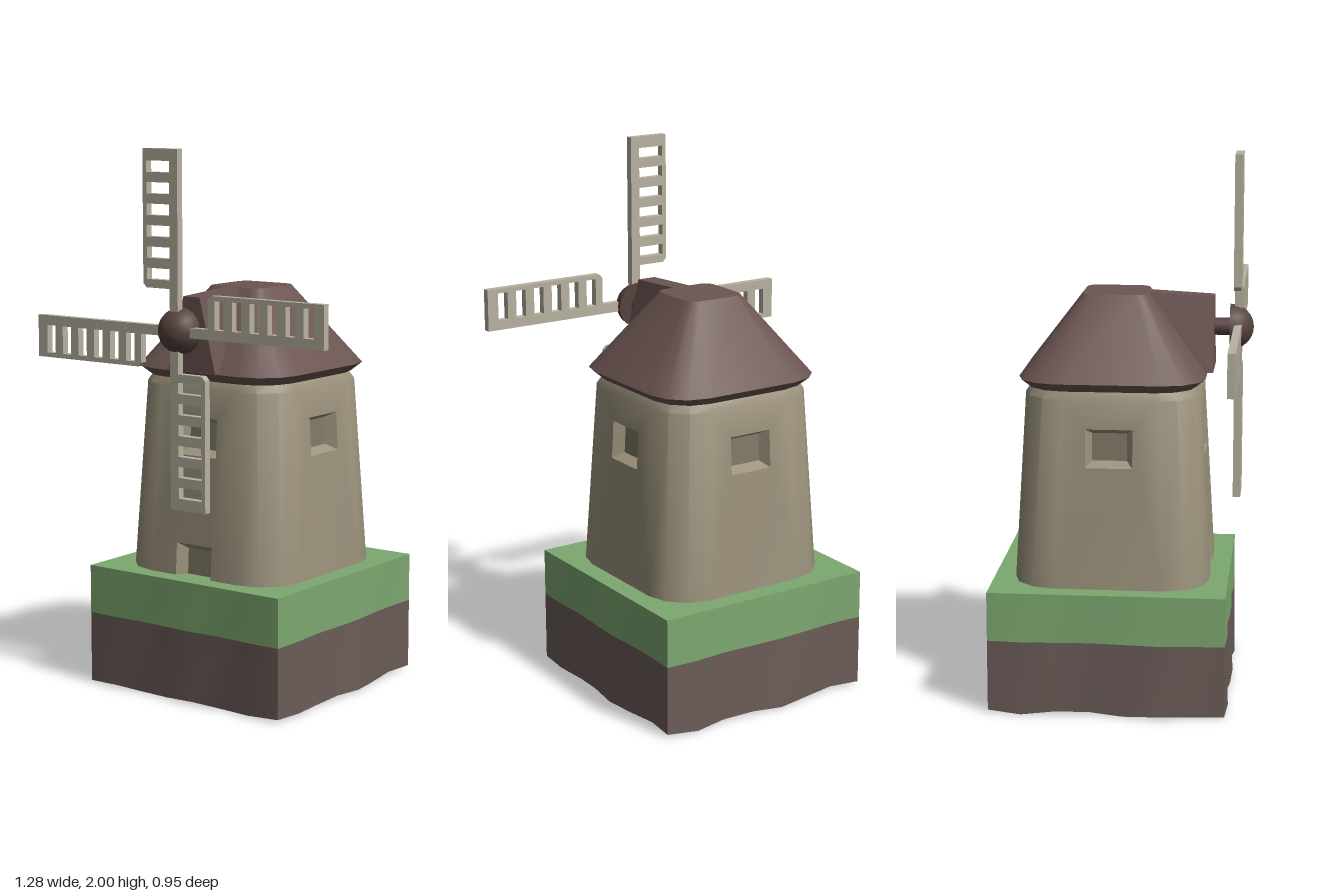
import * as THREE from 'three';
import { toCreasedNormals, mergeGeometries } from 'three/addons/utils/BufferGeometryUtils.js';

const CZ = -0.027; // centre of the tower in z
const V = (x, y, z) => new THREE.Vector3(x, y, z);

const paint = (color, side = THREE.FrontSide) =>
  new THREE.MeshStandardMaterial({ color, side });
const STONE = paint(0x9c937d);
const PANE = paint(0x7f7966);
const ROOF = paint(0x6b5552);
const HUB = paint(0x57433f);
const WOOD = paint(0xb8b2a0);
const GRASS = paint(0x7da870, THREE.DoubleSide);
const SOIL = paint(0x6b5c58, THREE.DoubleSide);

function add(parent, name, geometry, material) {
  const mesh = new THREE.Mesh(geometry, material);
  mesh.name = name;
  parent.add(mesh);
  return mesh;
}

// Non-indexed geometry from a list of triangle corners
function fromPoints(points) {
  const g = new THREE.BufferGeometry().setFromPoints(points);
  g.computeVertexNormals();
  return g;
}

// Skin between successive rings of points, with optional flat ends
function loft(rings, { closed = true, start = false, end = false } = {}) {
  const out = [];
  for (let r = 0; r + 1 < rings.length; r++) {
    const a = rings[r], b = rings[r + 1], n = a.length;
    for (let i = 0; i < (closed ? n : n - 1); i++) {
      const j = (i + 1) % n;
      out.push(a[i], a[j], b[j], a[i], b[j], b[i]);
    }
  }
  const cap = (ring, flip) => {
    for (let i = 1; i + 1 < ring.length; i++)
      out.push(ring[0], ring[flip ? i + 1 : i], ring[flip ? i : i + 1]);
  };
  if (start) cap(rings[0], true);
  if (end) cap(rings[rings.length - 1], false);
  return fromPoints(out);
}

// One rounded corner of a square, k quarter turns from front left
function cornerArc(half, r, y, k, seg = 3) {
  const pts = [];
  for (let i = 0; i <= seg; i++) {
    const a = (i / seg) * Math.PI / 2;
    pts.push(V(half - r + r * Math.sin(a), y, half - r + r * Math.cos(a))
      .applyAxisAngle(V(0, 1, 0), k * Math.PI / 2));
  }
  return pts;
}
const roundedSquare = (half, r, y) => [0, 1, 2, 3].flatMap(k => cornerArc(half, r, y, k));

function rect(x, y0, y1) {
  return [[-x, y0], [x, y0], [x, y1], [-x, y1]];
}

// Tower: four flat walls with recessed openings, joined by rounded corners
function buildTower() {
  const tower = new THREE.Group();
  tower.name = 'tower';
  const y0 = 0.446, y1 = 1.14, h0 = 0.357, h1 = 0.317, r0 = 0.16, r1 = 0.15;
  const half = y => h0 + (h1 - h0) * (y - y0) / (y1 - y0);
  const parts = [], panes = [];

  for (let k = 0; k < 4; k++) {
    const turn = k * Math.PI / 2;
    const front = k === 0;
    const outline = [[-(h0 - r0), y0]];
    if (front) outline.push([-0.08, y0], [-0.08, 0.57], [0.08, 0.57], [0.08, y0]);
    outline.push([h0 - r0, y0], [h1 - r1, y1], [-(h1 - r1), y1]);
    const shape = new THREE.Shape(outline.map(p => new THREE.Vector2(...p)));
    shape.holes.push(new THREE.Path(rect(0.085, 0.895, 1.035).map(p => new THREE.Vector2(...p))));

    // Lean the flat wall back to the taper of the tower
    const wall = new THREE.ShapeGeometry(shape).toNonIndexed();
    wall.deleteAttribute('uv');
    const pos = wall.attributes.position;
    for (let i = 0; i < pos.count; i++) pos.setZ(i, half(pos.getY(i)));
    parts.push(wall.rotateY(turn));

    // Bevelled reveal and pane for each opening
    const openings = [[rect(0.085, 0.895, 1.035), rect(0.063, 0.915, 1.015)]];
    if (front) openings.push([rect(0.08, y0, 0.57), rect(0.055, y0, 0.545)]);
    for (const [outer, inner] of openings) {
      const a = outer.map(([x, y]) => V(x, y, half(y)));
      const b = inner.map(([x, y]) => V(x, y, half(y) - 0.04));
      parts.push(loft([a, b]).rotateY(turn));
      panes.push(fromPoints([b[0], b[1], b[2], b[0], b[2], b[3]]).rotateY(turn));
    }
    parts.push(loft([cornerArc(h0, r0, y0, k), cornerArc(h1, r1, y1, k)], { closed: false }));
  }
  // Chamfered lip under the roof
  parts.push(loft([roundedSquare(h1, r1, y1), roundedSquare(0.297, 0.14, 1.172)], { end: true }));

  add(tower, 'towerWalls', toCreasedNormals(mergeGeometries(parts), 0.6), STONE);
  add(tower, 'windowAndDoorPanes', mergeGeometries(panes), PANE);
  tower.position.z = CZ;
  return tower;
}

// Ground block: straight at the top, ragged towards the open bottom
function buildGround() {
  const ground = new THREE.Group();
  ground.name = 'ground';
  const bumps = [ // outward bulge along front, left, back and right
    [0, 0.008, -0.01, 0.006, 0.01, -0.012, 0.008, 0],
    [0, 0.006, -0.01, 0.004, 0.016, -0.006, -0.012, 0],
    [0, 0.014, -0.006, 0.008, 0.018, 0.002, -0.012, 0],
    [0.01, 0.022, 0.004, -0.006, 0.012, 0.036, 0.012, 0],
  ];
  bumps[3].reverse(); bumps[3] = [0, 0.022, 0.008, -0.008, 0.012, 0.036, 0.012, 0];
  const ring = y => bumps.flatMap((side, k) => side.slice(0, -1).map((b, i) => {
    const depth = 1 - y / 0.45;
    const lift = y === 0 ? 0.006 * (1 + Math.sin(i * 2.1 + k)) : 0;
    return V(-0.43 + 0.86 * i / 7, y + lift, 0.43 + b * depth)
      .applyAxisAngle(V(0, 1, 0), k * Math.PI / 2).add(V(0, 0, -0.03));
  }));
  add(ground, 'grassSides', toCreasedNormals(loft([ring(0.27), ring(0.45)]), 0.6), GRASS);
  add(ground, 'soilSides', toCreasedNormals(loft([ring(0), ring(0.27)]), 0.6), SOIL);
  const top = add(ground, 'grassTop', new THREE.PlaneGeometry(0.86, 0.86).rotateX(-Math.PI / 2), GRASS);
  top.position.set(0, 0.45, -0.03);
  const under = add(ground, 'soilUnderside', new THREE.PlaneGeometry(0.86, 0.86).rotateX(Math.PI / 2), SOIL);
  under.position.set(0, 0.443, -0.03);
  return ground;
}

// Roof with a tapered gable that carries the shaft
function buildRoof() {
  const roof = new THREE.Group();
  roof.name = 'roof';
  const cap = loft([
    roundedSquare(0.305, 0.14, 1.168),
    roundedSquare(0.338, 0.15, 1.2),
    roundedSquare(0.117, 0.04, 1.49),
  ], { start: true, end: true });
  add(roof, 'roofCap', toCreasedNormals(cap, 0.6), ROOF).position.z = CZ;

  const section = (z, top) => [
    V(-0.105, 1.205, z), V(0.105, 1.205, z), V(0.036, top, z), V(-0.036, top, z)];
  add(roof, 'roofGable', loft([section(0.08, 1.489), section(0.333, 1.475)],
    { start: true, end: true }), ROOF);
  return roof;
}

// Shaft, domed hub and four ladder sails
function buildRotor() {
  const rotor = new THREE.Group();
  rotor.name = 'rotor';
  add(rotor, 'shaft', new THREE.CylinderGeometry(0.032, 0.032, 0.1, 16).rotateX(Math.PI / 2), HUB)
    .position.z = 0.36;
  const profile = [new THREE.Vector2(0, 0)];
  for (let i = 0; i <= 8; i++) {
    const a = (i / 8) * Math.PI / 2;
    profile.push(new THREE.Vector2(0.084 * Math.cos(a), 0.086 * Math.sin(a)));
  }
  const dome = toCreasedNormals(new THREE.LatheGeometry(profile, 20).rotateX(Math.PI / 2), 0.7);
  add(rotor, 'hub', dome, HUB).position.z = 0.39;

  const outline = [[-0.018, 0], [0.018, 0], [0.018, 0.64], [-0.137, 0.64],
    [-0.137, 0.165], [-0.122, 0.15], [-0.018, 0.15]];
  const shape = new THREE.Shape(outline.map(p => new THREE.Vector2(...p)));
  for (let i = 0; i < 6; i++) {
    const y = 0.18 + 0.0755 * i;
    shape.holes.push(new THREE.Path([[-0.12, y], [-0.018, y], [-0.018, y + 0.04], [-0.12, y + 0.04]]
      .map(p => new THREE.Vector2(...p))));
  }
  const sail = new THREE.ExtrudeGeometry(shape, { depth: 0.028, bevelEnabled: false });
  for (let k = 0; k < 4; k++) {
    const mesh = add(rotor, 'sail', sail, WOOD);
    mesh.rotation.z = k * Math.PI / 2;
    mesh.position.z = 0.406;
  }
  rotor.position.y = 1.36;
  return rotor;
}

export function createModel() {
  const model = new THREE.Group();
  model.name = 'windmill';
  model.add(buildGround(), buildTower(), buildRoof(), buildRotor());
  return model;
}
